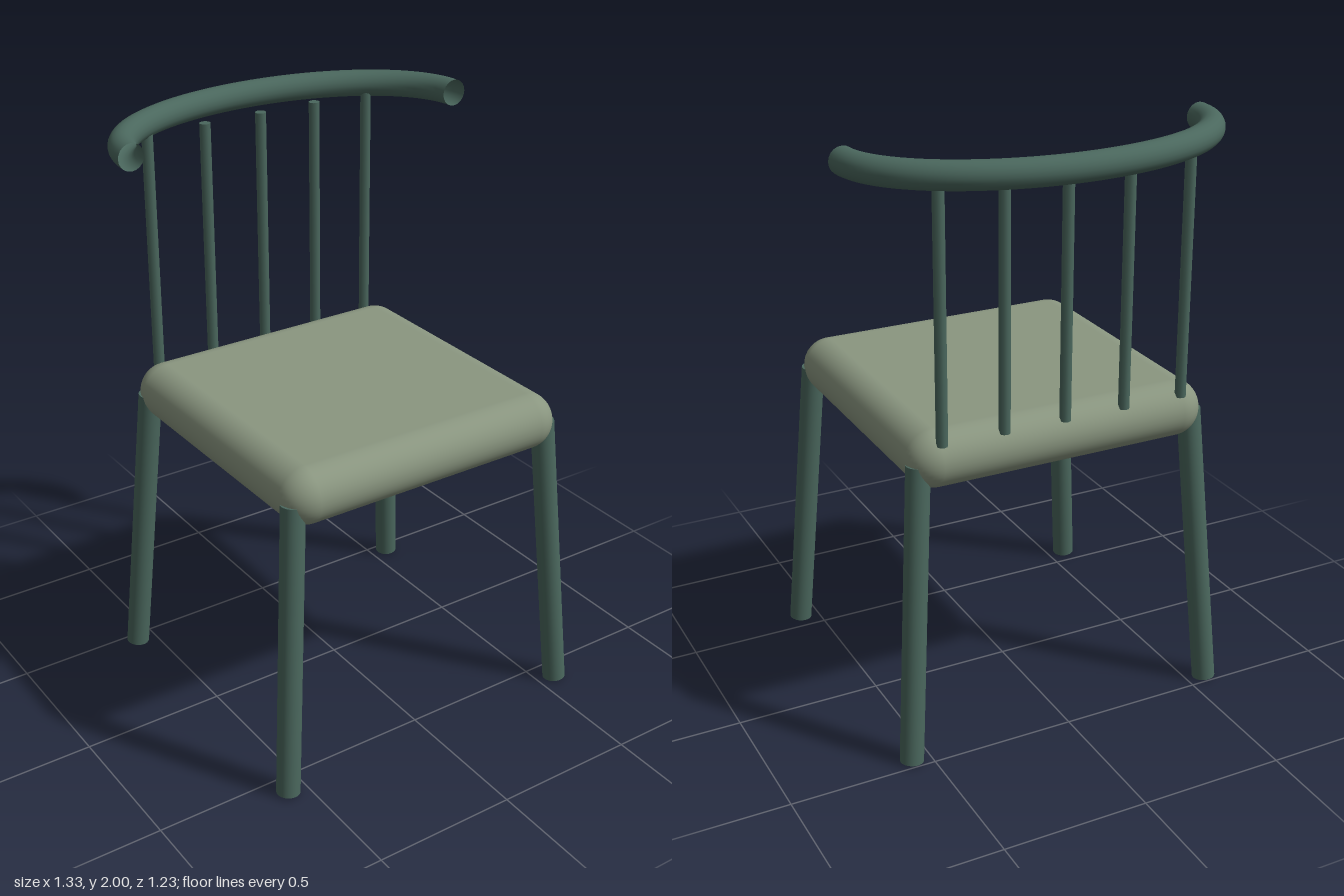
import * as THREE from 'three';
import { RoundedBoxGeometry } from 'three/addons/geometries/RoundedBoxGeometry.js';

// Half-ellipse running round the back, from the right end to the left end
class RailCurve extends THREE.Curve {
  getPoint(t, target = new THREE.Vector3()) {
    const a = Math.PI * t;
    return target.set(-0.62 * Math.cos(a), 1.957, -0.185 - 0.383 * Math.sin(a));
  }
}

export function createModel() {
  const group = new THREE.Group();
  const frame = new THREE.MeshStandardMaterial({ color: 0x4a675d });
  frame.name = 'dark green frame';
  frame.side = THREE.DoubleSide;
  const cushion = new THREE.MeshStandardMaterial({ color: 0x8a9680 });
  cushion.name = 'sage seat';

  const add = (name, geometry, material) => {
    const mesh = new THREE.Mesh(geometry, material);
    mesh.name = name;
    group.add(mesh);
    return mesh;
  };

  // Round rod between two points
  const rod = (name, from, to, radius, sides) => {
    const dir = to.clone().sub(from);
    const mesh = add(name, new THREE.CylinderGeometry(radius, radius, dir.length(), sides), frame);
    mesh.position.copy(from).add(to).multiplyScalar(0.5);
    mesh.quaternion.setFromUnitVectors(new THREE.Vector3(0, 1, 0), dir.normalize());
  };

  // Seat with fully rounded edges
  add('seat', new RoundedBoxGeometry(1.06, 0.195, 1.046, 6, 0.097), cushion)
    .position.set(0, 1.0375, 0.053);

  // Four splayed legs
  for (const [xName, sx] of [['left', 1], ['right', -1]]) {
    for (const [zName, sz, cz] of [['Front', 1, 0.055], ['Back', -1, 0.055]]) {
      rod(`${xName}${zName}Leg`,
        new THREE.Vector3(sx * 0.567, 0.004, cz + sz * 0.518),
        new THREE.Vector3(sx * 0.493, 1.03, cz + sz * 0.452), 0.04, 24);
    }
  }

  // Five upright spindles
  for (let i = -2; i <= 2; i++) {
    const x = i * 0.215;
    rod(`spindle${i + 3}`, new THREE.Vector3(x, 1.1, -0.44), new THREE.Vector3(x, 1.93, -0.44), 0.019, 10);
  }

  // Curved top rail, open at its ends
  add('topRail', new THREE.TubeGeometry(new RailCurve(), 64, 0.045, 20, false), frame);

  return group;
}
